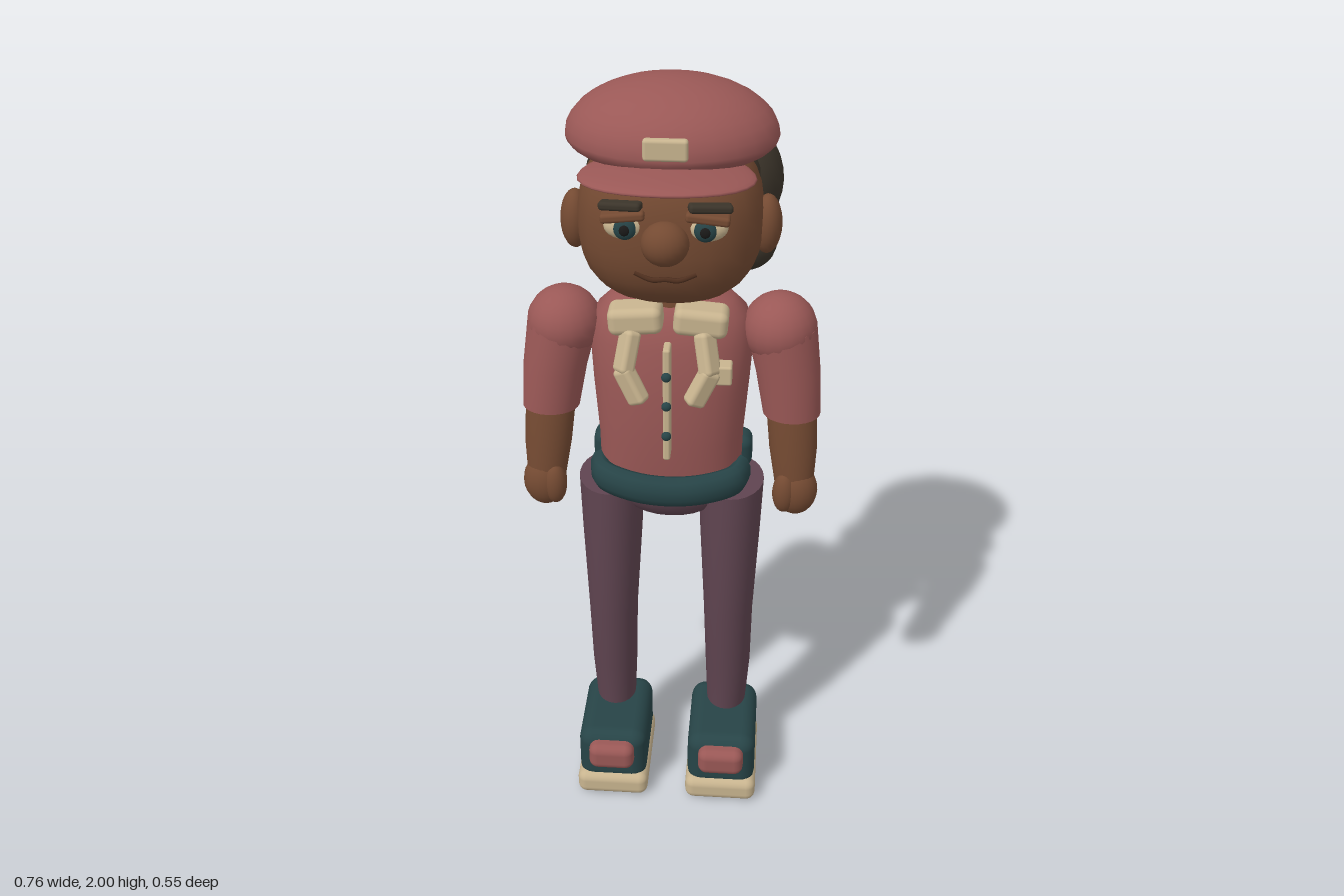
import * as THREE from 'three';
import { mergeVertices } from 'three/addons/utils/BufferGeometryUtils.js';
import { RoundedBoxGeometry } from 'three/addons/geometries/RoundedBoxGeometry.js';

const mat = (name, color) => {
  const m = new THREE.MeshStandardMaterial({ color });
  m.name = name;
  return m;
};

// Sphere vertices moved by a rule, then re-smoothed
function shapedSphere(rule, w = 28, h = 18) {
  const g = new THREE.SphereGeometry(1, w, h);
  g.deleteAttribute('uv');
  g.deleteAttribute('normal');
  const p = g.attributes.position, v = new THREE.Vector3();
  for (let i = 0; i < p.count; i++) {
    rule(v.fromBufferAttribute(p, i));
    p.setXYZ(i, v.x, v.y, v.z);
  }
  const merged = mergeVertices(g, 1e-5);
  merged.computeVertexNormals();
  return merged;
}

// Skin over horizontal oval rings [y, centreX, centreZ, radiusX, radiusZ], listed upwards
function loft(rings, power = 2, n = 24) {
  const pos = [], idx = [];
  const oval = (t) => Math.sign(t) * Math.abs(t) ** (2 / power);
  const addRing = ([y, cx, cz, rx, rz]) => {
    for (let j = 0; j < n; j++) {
      const a = (j / n) * Math.PI * 2;
      pos.push(cx + rx * oval(Math.cos(a)), y, cz + rz * oval(Math.sin(a)));
    }
  };
  rings.forEach(addRing);
  for (let i = 0; i < rings.length - 1; i++)
    for (let j = 0; j < n; j++) {
      const k = (j + 1) % n, a = i * n + j, b = i * n + k;
      idx.push(a, a + n, b, b, a + n, b + n);
    }
  // End caps with their own vertices keep the rims sharp
  for (const top of [false, true]) {
    const r = top ? rings[rings.length - 1] : rings[0];
    const start = pos.length / 3;
    addRing(r);
    pos.push(r[1], r[0], r[2]);
    for (let j = 0; j < n; j++) {
      const a = start + j, b = start + (j + 1) % n;
      idx.push(start + n, top ? b : a, top ? a : b);
    }
  }
  const g = new THREE.BufferGeometry();
  g.setAttribute('position', new THREE.Float32BufferAttribute(pos, 3));
  g.setIndex(idx);
  g.computeVertexNormals();
  return g;
}

export function createModel() {
  const model = new THREE.Group();
  const red = mat('dusty red', 0x9a5856);
  const skin = mat('brown skin', 0x744a32);
  const hair = mat('dark hair', 0x3b342a);
  const plum = mat('plum trousers', 0x5f4450);
  const teal = mat('dark teal', 0x274447);
  const cream = mat('cream', 0xc8b48f);
  const black = mat('black', 0x1b1a19);
  const lip = mat('dark lip', 0x50301f);

  const add = (name, geo, m, x = 0, y = 0, z = 0) => {
    const mesh = new THREE.Mesh(geo, m);
    mesh.name = name;
    mesh.position.set(x, y, z);
    model.add(mesh);
    return mesh;
  };
  const ball = (name, m, x, y, z, rx, ry, rz) => {
    const mesh = add(name, new THREE.SphereGeometry(1, 20, 14), m, x, y, z);
    mesh.scale.set(rx, ry, rz);
    return mesh;
  };
  const box = (name, m, x, y, z, w, h, d, r) =>
    add(name, new RoundedBoxGeometry(w, h, d, 3, r), m, x, y, z);
  const beam = (name, m, from, to, w, d) => {
    const a = new THREE.Vector3(...from), b = new THREE.Vector3(...to);
    const c = a.clone().add(b).multiplyScalar(0.5);
    const mesh = box(name, m, c.x, c.y, c.z, w, a.distanceTo(b) + w * 0.3, d, 0.012);
    mesh.quaternion.setFromUnitVectors(new THREE.Vector3(0, 1, 0), b.sub(a).normalize());
    return mesh;
  };

  // Head: a slightly squared ellipsoid
  const P = 2.5;
  add('head', shapedSphere((v) => {
    const k = (Math.abs(v.x) ** P + Math.abs(v.y) ** P + Math.abs(v.z) ** P) ** (-1 / P);
    v.multiplyScalar(k).multiply(new THREE.Vector3(0.217, 0.2, 0.185));
  }), skin, 0, 1.685, 0);
  ball('nose', skin, 0, 1.69, 0.185, 0.055, 0.052, 0.05);
  add('neck', new THREE.CylinderGeometry(0.075, 0.09, 0.12, 20), skin, 0, 1.48, -0.03);
  const smile = new THREE.CatmullRomCurve3([[-0.07, 1.612, 0.172], [-0.03, 1.598, 0.179],
    [0, 1.601, 0.18], [0.03, 1.598, 0.179], [0.07, 1.612, 0.172]].map((p) => new THREE.Vector3(...p)));
  add('mouth', new THREE.TubeGeometry(smile, 16, 0.006, 6), lip);

  // Hair: back of the head, ponytail and its lower bun
  ball('backHair', hair, 0, 1.745, -0.08, 0.21, 0.145, 0.16);
  ball('ponytail', hair, 0.155, 1.715, -0.16, 0.105, 0.135, 0.118);
  ball('ponytailBun', hair, 0.17, 1.553, -0.157, 0.08, 0.07, 0.078);

  // Cap: dome with a shallower underside, and a drooping visor
  add('capDome', shapedSphere((v) => v.set(v.x * 0.247, v.y * (v.y > 0 ? 0.13 : 0.07), v.z * 0.202)),
    red, 0, 1.87, -0.036);
  add('capVisor', shapedSphere((v) => v.set(v.x * 0.2, v.y * 0.018 - v.x * v.x * 0.012, v.z * 0.145)),
    red, 0, 1.836, 0.13);
  box('capBadge', cream, 0, 1.9, 0.166, 0.1, 0.05, 0.022, 0.008);

  // Torso
  add('torso', loft([[0.985, 0, -0.005, 0.18, 0.105], [1.1, 0, -0.015, 0.183, 0.128],
    [1.25, 0, -0.022, 0.195, 0.138], [1.37, 0, -0.033, 0.203, 0.135], [1.43, 0, -0.033, 0.185, 0.115],
    [1.465, 0, -0.033, 0.15, 0.09], [1.48, 0, -0.033, 0.11, 0.07]], 2.3, 32), red);
  box('placket', cream, 0, 1.253, 0.13, 0.018, 0.305, 0.05, 0.006);
  for (const y of [1.335, 1.255, 1.172]) ball('button', teal, 0, y, 0.157, 0.012, 0.012, 0.01);
  box('chestTag', cream, 0.132, 1.335, 0.122, 0.047, 0.05, 0.045, 0.006);

  // Hips and front of the belt
  ball('hips', plum, 0, 0.955, -0.015, 0.165, 0.11, 0.11);
  const beltPath = new THREE.CatmullRomCurve3([[-0.18, 0.667, 0.02], [-0.165, 0.667, 0.075],
    [-0.09, 0.662, 0.112], [0, 0.658, 0.12], [0.09, 0.662, 0.112], [0.165, 0.667, 0.075],
    [0.18, 0.667, 0.02]].map((p) => new THREE.Vector3(...p)));
  add('beltFront', new THREE.TubeGeometry(beltPath, 32, 0.028, 10).scale(1, 1.5, 1), teal);

  for (const s of [-1, 1]) {
    // Face details
    ball('ear', skin, s * 0.225, 1.67, 0.005, 0.035, 0.072, 0.045);
    ball('eyeWhite', cream, s * 0.093, 1.722, 0.163, 0.047, 0.031, 0.028);
    ball('iris', teal, s * 0.09, 1.722, 0.183, 0.026, 0.026, 0.014);
    ball('pupil', black, s * 0.09, 1.722, 0.194, 0.012, 0.013, 0.006);
    const lid = box('upperLid', skin, s * 0.095, 1.75, 0.175, 0.1, 0.022, 0.04, 0.008);
    lid.rotation.z = -s * 0.1;
    const brow = box('eyebrow', hair, s * 0.1, 1.772, 0.172, 0.1, 0.02, 0.03, 0.008);
    brow.rotation.set(0, s * 0.25, -s * 0.08);

    // Collar and lapels
    const collar = box('collar', cream, s * 0.078, 1.457, 0.085, 0.13, 0.068, 0.085, 0.02);
    collar.rotation.z = -s * 0.08;
    beam('lapelUpper', cream, [s * 0.088, 1.43, 0.115], [s * 0.103, 1.345, 0.145], 0.05, 0.04);
    beam('lapelLower', cream, [s * 0.103, 1.345, 0.145], [s * 0.066, 1.27, 0.155], 0.05, 0.04);

    // Arm
    ball('shoulder', red, s * 0.265, 1.39, -0.018, 0.092, 0.09, 0.096);
    add('sleeve', loft([[1.17, s * 0.303, 0.01, 0.072, 0.064], [1.28, s * 0.29, 0, 0.08, 0.076],
      [1.4, s * 0.267, -0.018, 0.089, 0.093]]), red);
    add('forearm', loft([[0.97, s * 0.318, 0.045, 0.048, 0.042], [1.08, s * 0.311, 0.032, 0.06, 0.052],
      [1.2, s * 0.302, 0.012, 0.064, 0.058]]), skin);
    ball('hand', skin, s * 0.322, 0.965, 0.048, 0.056, 0.07, 0.05);
    ball('thumb', skin, s * 0.293, 0.968, 0.072, 0.03, 0.057, 0.03);

    // Belt pad at the side of the back
    box('beltPad', teal, s * 0.175, 1.003, -0.083, 0.065, 0.095, 0.085, 0.028);

    // Leg
    add('leg', loft([[0.18, s * 0.157, -0.015, 0.053, 0.065], [0.35, s * 0.159, -0.012, 0.062, 0.072],
      [0.55, s * 0.157, 0.012, 0.066, 0.074], [0.8, s * 0.156, -0.008, 0.079, 0.1],
      [0.95, s * 0.156, -0.02, 0.085, 0.111]]), plum);

    // Shoe
    box('shoeUpper', teal, s * 0.152, 0.125, 0.052, 0.188, 0.17, 0.275, 0.04);
    box('shoeSole', cream, s * 0.152, 0.036, 0.057, 0.197, 0.072, 0.295, 0.025);
    box('toePatch', red, s * 0.152, 0.15, 0.19, 0.125, 0.08, 0.065, 0.025);
  }
  return model;
}
